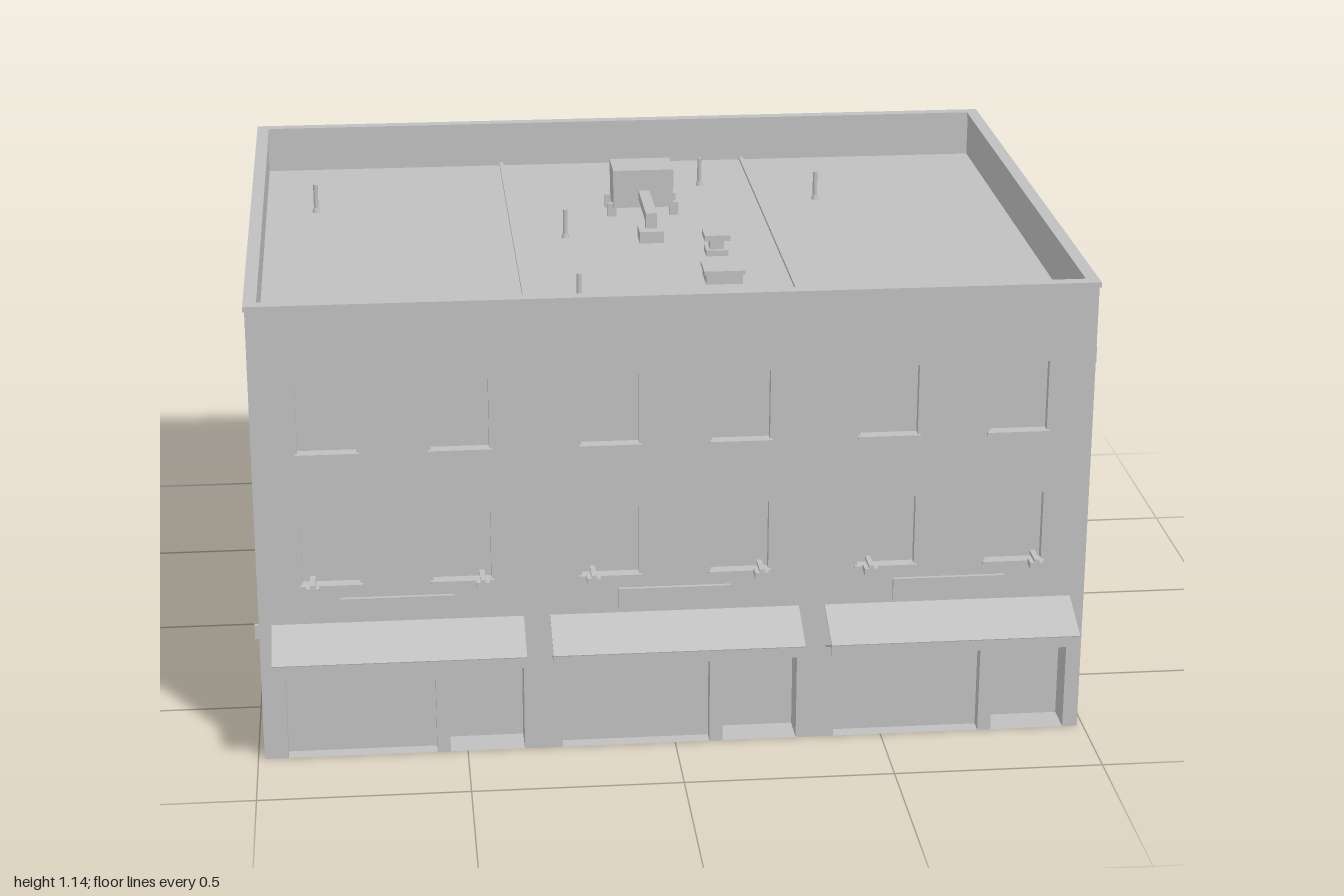
import * as THREE from 'three';

const paint = new THREE.MeshStandardMaterial({ color: 0xc0c0c0, side: THREE.DoubleSide });
paint.name = 'pale grey';

const X = 0.985, ZB = -0.752, ZF = 0.787, ZC = (ZB + ZF) / 2, TOP = 1.139, ROOF = 1.02;
const BAYS = [-0.656, 0, 0.656];

function add(parent, name, geometry, x = 0, y = 0, z = 0) {
  const mesh = new THREE.Mesh(geometry, paint);
  mesh.name = name;
  mesh.position.set(x, y, z);
  parent.add(mesh);
  return mesh;
}

// Box given by its lower and upper corners
function box(parent, name, x0, x1, y0, y1, z0, z1) {
  return add(parent, name, new THREE.BoxGeometry(x1 - x0, y1 - y0, z1 - z0),
    (x0 + x1) / 2, (y0 + y1) / 2, (z0 + z1) / 2);
}

// Square bar between two points in a plane of constant x
function bar(parent, name, x, y0, z0, y1, z1, width, thick) {
  const len = Math.hypot(y1 - y0, z1 - z0);
  const mesh = add(parent, name, new THREE.BoxGeometry(width, thick, len), x, (y0 + y1) / 2, (z0 + z1) / 2);
  mesh.rotation.x = -Math.atan2(y1 - y0, z1 - z0);
  return mesh;
}

// Open-fronted niche sunk behind the wall plane z = 0
function niche(parent, name, o) {
  const geo = new THREE.BoxGeometry(o.x1 - o.x0, o.y1 - o.y0, o.d);
  const index = Array.from(geo.index.array);
  index.splice(24, 6);
  geo.setIndex(index);
  geo.clearGroups();
  add(parent, name, geo, (o.x0 + o.x1) / 2, (o.y0 + o.y1) / 2, -o.d / 2);
}

// Wall sheet in the xy plane; openings on the ground become notches in its outline
function wall(parent, name, half, openings) {
  const group = new THREE.Group();
  group.name = name;
  parent.add(group);
  const shape = new THREE.Shape();
  shape.moveTo(-half, 0);
  const sorted = openings.filter(o => o.y0 === 0).sort((a, b) => a.x0 - b.x0);
  for (const o of sorted) {
    shape.lineTo(o.x0, 0);
    shape.lineTo(o.x0, o.y1);
    shape.lineTo(o.x1, o.y1);
    shape.lineTo(o.x1, 0);
  }
  shape.lineTo(half, 0);
  shape.lineTo(half, TOP - 0.012);
  shape.lineTo(-half, TOP - 0.012);
  shape.closePath();
  for (const o of openings) {
    if (o.y0 > 0) {
      const hole = new THREE.Path();
      hole.moveTo(o.x0, o.y0);
      hole.lineTo(o.x0, o.y1);
      hole.lineTo(o.x1, o.y1);
      hole.lineTo(o.x1, o.y0);
      hole.closePath();
      shape.holes.push(hole);
    }
    niche(group, o.name, o);
    if (o.sill) box(group, 'windowSill', o.x0 - 0.006, o.x1 + 0.006, o.y0 - 0.007, o.y0, -0.01, 0.01);
  }
  add(group, 'wallSheet', new THREE.ShapeGeometry(shape));
  return group;
}

const opening = (name, x0, x1, y0, y1, d, sill = false) => ({ name, x0, x1, y0, y1, d, sill });
const windowAt = (x, y) => opening('window', x - 0.068, x + 0.068, y, y + 0.171, 0.02, true);

function frontWall(parent) {
  const openings = [];
  for (const b of BAYS) {
    for (const y of [0.448, 0.777]) openings.push(windowAt(b - 0.155, y), windowAt(b + 0.152, y));
    openings.push(opening('shopWindow', b - 0.272, b + 0.083, 0, 0.33, 0.035));
    openings.push(opening('shopDoor', b + 0.115, b + 0.293, 0, 0.33, 0.08));
  }
  const g = wall(parent, 'frontWall', X, openings);
  g.position.z = ZF;
  for (const b of BAYS) {
    box(g, 'signBoard', b - 0.136, b + 0.13, 0.358, 0.412, 0, 0.009);
    // Awning with valance and side braces
    bar(g, 'awning', b - 0.002, 0.347, 0, 0.298, 0.128, 0.594, 0.004);
    box(g, 'awningValance', b - 0.299, b + 0.295, 0.272, 0.299, 0.125, 0.128);
    for (const s of [-1, 1]) {
      bar(g, 'awningBrace', b - 0.002 + s * 0.29, 0.24, 0, 0.296, 0.126, 0.005, 0.005);
      // Sign lamp on a short arm
      const x = b + s * 0.198;
      box(g, 'lampArm', x - 0.006, x + 0.006, 0.462, 0.471, 0, 0.06);
      box(g, 'lampHead', x - 0.016, x + 0.016, 0.447, 0.463, 0.028, 0.06);
    }
  }
}

function backWall(parent) {
  const openings = [];
  for (const b of BAYS) {
    for (const y of [0.457, 0.785]) openings.push(windowAt(b, y));
    openings.push(opening('backDoor', b - 0.052, b + 0.052, 0.035, 0.285, 0.02));
    openings.push(opening('smallWindow', b + 0.139, b + 0.215, 0.195, 0.285, 0.015, true));
  }
  const g = wall(parent, 'backWall', X, openings);
  g.position.z = ZB;
  g.rotation.y = Math.PI;
  for (const b of BAYS) {
    box(g, 'upperStep', b - 0.086, b + 0.086, 0, 0.035, 0, 0.128);
    box(g, 'lowerStep', b - 0.075, b + 0.075, 0, 0.018, 0.128, 0.162);
    box(g, 'doorLamp', b + 0.078, b + 0.103, 0.278, 0.32, 0, 0.012);
    box(g, 'meterBox', b - 0.255, b - 0.222, 0.113, 0.165, 0, 0.014);
  }
}

// Side walls are the same wall turned half round
function sideWall(parent, name, side) {
  const openings = [];
  for (const u of [-0.442, 0.44]) for (const y of [0.12, 0.449, 0.778]) openings.push(windowAt(u, y));
  const g = wall(parent, name, (ZF - ZB) / 2, openings);
  g.position.set(side * X, 0, ZC);
  g.rotation.y = side * Math.PI / 2;
  box(g, 'wallPlaque', -0.75, -0.682, 0.932, 0.976, 0, 0.006);
  box(g, 'wallVent', 0.626, 0.638, 0.255, 0.29, 0, 0.015);
}

// Rectangular ring lying flat, from y0 to y1
function ring(parent, name, out, inset, y0, y1) {
  const rect = (path, e) => path.moveTo(-X - e, -ZF - e).lineTo(X + e, -ZF - e)
    .lineTo(X + e, -ZB + e).lineTo(-X - e, -ZB + e).closePath();
  const shape = new THREE.Shape();
  rect(shape, out);
  const hole = new THREE.Path();
  rect(hole, -inset);
  shape.holes.push(hole);
  const mesh = add(parent, name, new THREE.ExtrudeGeometry(shape, { depth: y1 - y0, bevelEnabled: false }), 0, y0, 0);
  mesh.rotation.x = -Math.PI / 2;
}

function roof(parent) {
  const g = new THREE.Group();
  g.name = 'roof';
  parent.add(g);
  box(g, 'roofDeck', -X + 0.003, X - 0.003, ROOF - 0.005, ROOF, ZB + 0.003, ZF - 0.003);
  ring(g, 'parapet', -0.003, 0.024, ROOF, TOP - 0.012);
  ring(g, 'coping', 0.004, 0.027, TOP - 0.012, TOP);
  for (const x of [-0.33, 0.33]) box(g, 'roofSeam', x - 0.005, x + 0.005, ROOF, ROOF + 0.008, ZB + 0.024, ZF - 0.024);

  // Rooftop air unit on feet, with duct
  box(g, 'airUnit', -0.064, 0.092, ROOF + 0.025, 1.145, -0.326, -0.214);
  for (const x of [-0.067, 0.095]) for (const z of [-0.31, -0.228]) {
    box(g, 'unitFoot', x - 0.012, x + 0.012, ROOF, ROOF + 0.035, z - 0.006, z + 0.006);
  }
  box(g, 'duct', 0.002, 0.03, ROOF + 0.045, ROOF + 0.07, -0.214, -0.04);
  box(g, 'ductEnd', -0.016, 0.045, ROOF, ROOF + 0.03, -0.043, 0.018);
  box(g, 'ductElbow', 0.002, 0.03, ROOF + 0.03, ROOF + 0.07, -0.04, -0.012);

  // Capped vent and roof hatch
  box(g, 'ventBase', 0.14, 0.195, ROOF, ROOF + 0.015, 0.085, 0.14);
  box(g, 'ventNeck', 0.15, 0.185, ROOF + 0.015, ROOF + 0.04, 0.095, 0.13);
  box(g, 'ventCap', 0.135, 0.2, ROOF + 0.04, ROOF + 0.055, 0.08, 0.145);
  box(g, 'roofHatch', 0.115, 0.205, ROOF, ROOF + 0.025, 0.28, 0.365);
  box(g, 'hatchLid', 0.11, 0.21, ROOF + 0.025, ROOF + 0.035, 0.275, 0.37);

  // Vent pipes
  const pipe = new THREE.CylinderGeometry(0.006, 0.006, 0.075, 8);
  const collar = new THREE.CylinderGeometry(0.007, 0.01, 0.012, 8);
  for (const [x, z] of [[-0.832, -0.332], [-0.2, -0.05], [0.48, -0.332], [0.19, -0.487], [-0.203, 0.477]]) {
    add(g, 'ventPipe', pipe, x, ROOF + 0.0375, z);
    add(g, 'pipeCollar', collar, x, ROOF + 0.006, z);
  }
}

export function createModel() {
  const model = new THREE.Group();
  model.name = 'shopBuilding';
  frontWall(model);
  backWall(model);
  sideWall(model, 'leftWall', 1);
  sideWall(model, 'rightWall', -1);
  roof(model);
  return model;
}
